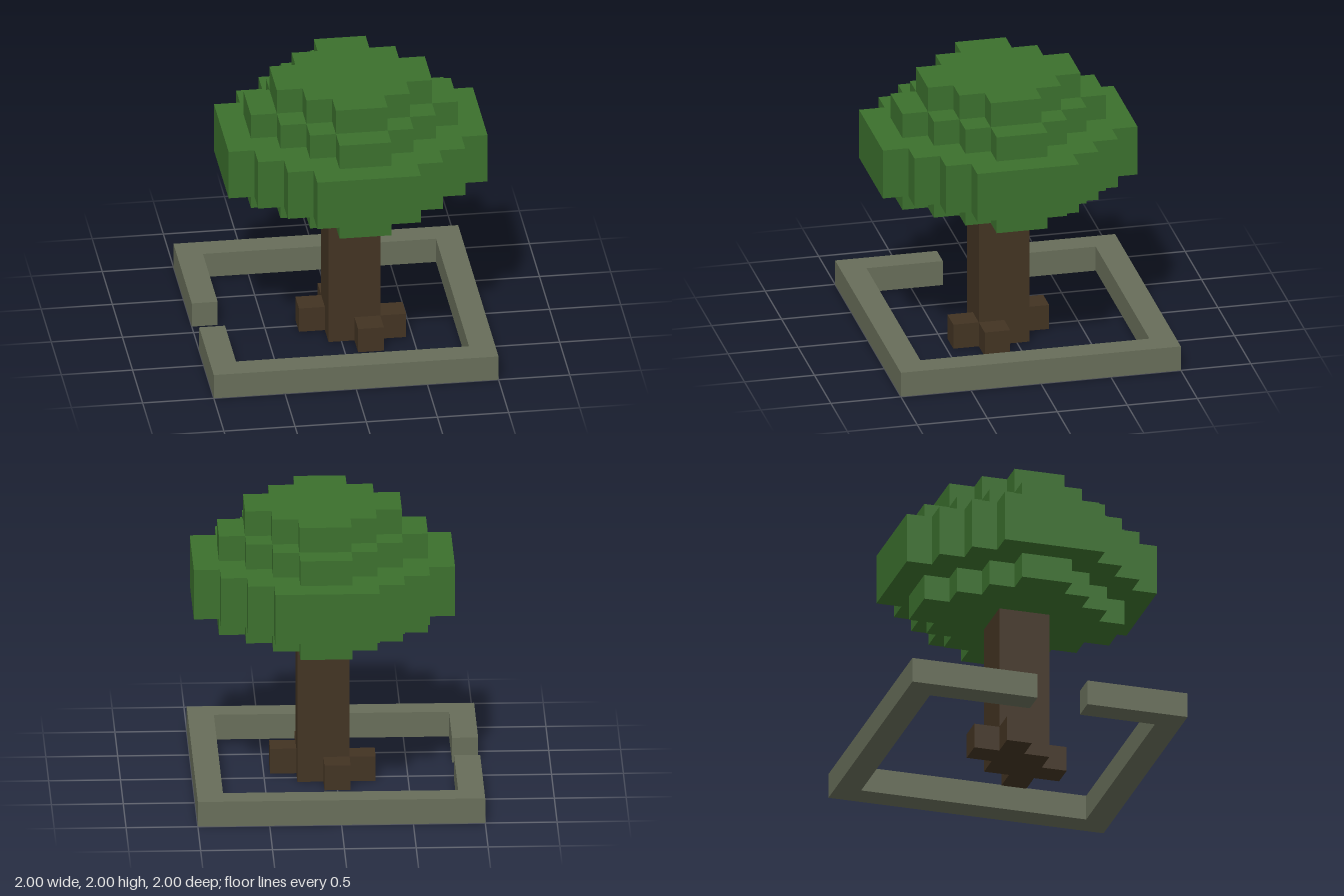
import * as THREE from 'three';

const U = 2 / 11; // edge of one block
const OFF = U / 2; // the tree stands half a block off centre in x and z

export function createModel() {
  const leaf = new THREE.MeshStandardMaterial({ color: 0x3b702d });
  leaf.name = 'leaf green';
  const bark = new THREE.MeshStandardMaterial({ color: 0x423322 });
  bark.name = 'bark brown';
  const stone = new THREE.MeshStandardMaterial({ color: 0x676d59 });
  stone.name = 'mossy stone';

  const model = new THREE.Group();
  model.name = 'blockTree';

  function add(parent, name, geometry, material, x, y, z) {
    const mesh = new THREE.Mesh(geometry, material);
    mesh.name = name;
    mesh.position.set(x, y, z);
    parent.add(mesh);
  }

  // Flat slab from an outline in block units, lying on y = 0
  function slab(points, blocksHigh) {
    const shape = new THREE.Shape(points.map(([x, y]) => new THREE.Vector2(x * U, y * U)));
    return new THREE.ExtrudeGeometry(shape, { depth: blocksHigh * U, bevelEnabled: false })
      .rotateX(-Math.PI / 2);
  }

  // Stepped round outline: flat sides of half length a at distance b
  function steppedOutline(a, b) {
    const points = [];
    for (let q = 0; q < 4; q++) {
      for (let w = b; w >= a; w--) {
        points.push([w, a + b - w]);
        if (w > a) points.push([w - 1, a + b - w]);
      }
      // turn everything back a quarter so the next quadrant follows on
      for (const p of points) [p[0], p[1]] = [p[1], -p[0]];
    }
    // each pass turns clockwise, so later quadrants lie counterclockwise
    return points;
  }

  // Stone border with a gap in the middle of its right side
  const border = [
    [-5.5, -1.5], [-5.5, -5.5], [5.5, -5.5], [5.5, 5.5], [-5.5, 5.5], [-5.5, 0.5],
    [-4.5, 0.5], [-4.5, 4.5], [4.5, 4.5], [4.5, -4.5], [-4.5, -4.5], [-4.5, -1.5],
  ];
  add(model, 'stoneBorder', slab(border, 1), stone, 0, 0, 0);

  // Trunk
  add(model, 'trunk', new THREE.BoxGeometry(2 * U, 6 * U, 2 * U), bark, OFF, 3 * U, OFF);

  // Four roots set around the trunk like a pinwheel
  const roots = new THREE.Group();
  roots.name = 'roots';
  for (const [x, z] of [[0.5, 1.5], [1.5, 0.5], [-0.5, -1.5], [-1.5, -0.5]]) {
    add(roots, 'root', new THREE.BoxGeometry(U, U, U), bark, OFF + x * U, U / 2, OFF + z * U);
  }
  model.add(roots);

  // Canopy layers: [name, side half length, radius, bottom, height]
  const canopy = new THREE.Group();
  canopy.name = 'canopy';
  for (const [name, a, b, y, h] of [
    ['lowerLeaves', 1, 4, 6, 1],
    ['middleLeaves', 2, 5, 7, 2],
    ['upperLeaves', 1, 4, 9, 1],
    ['crownLeaves', 1, 3, 10, 1],
  ]) {
    add(canopy, name, slab(steppedOutline(a, b), h), leaf, OFF, y * U, OFF);
  }
  model.add(canopy);

  return model;
}
